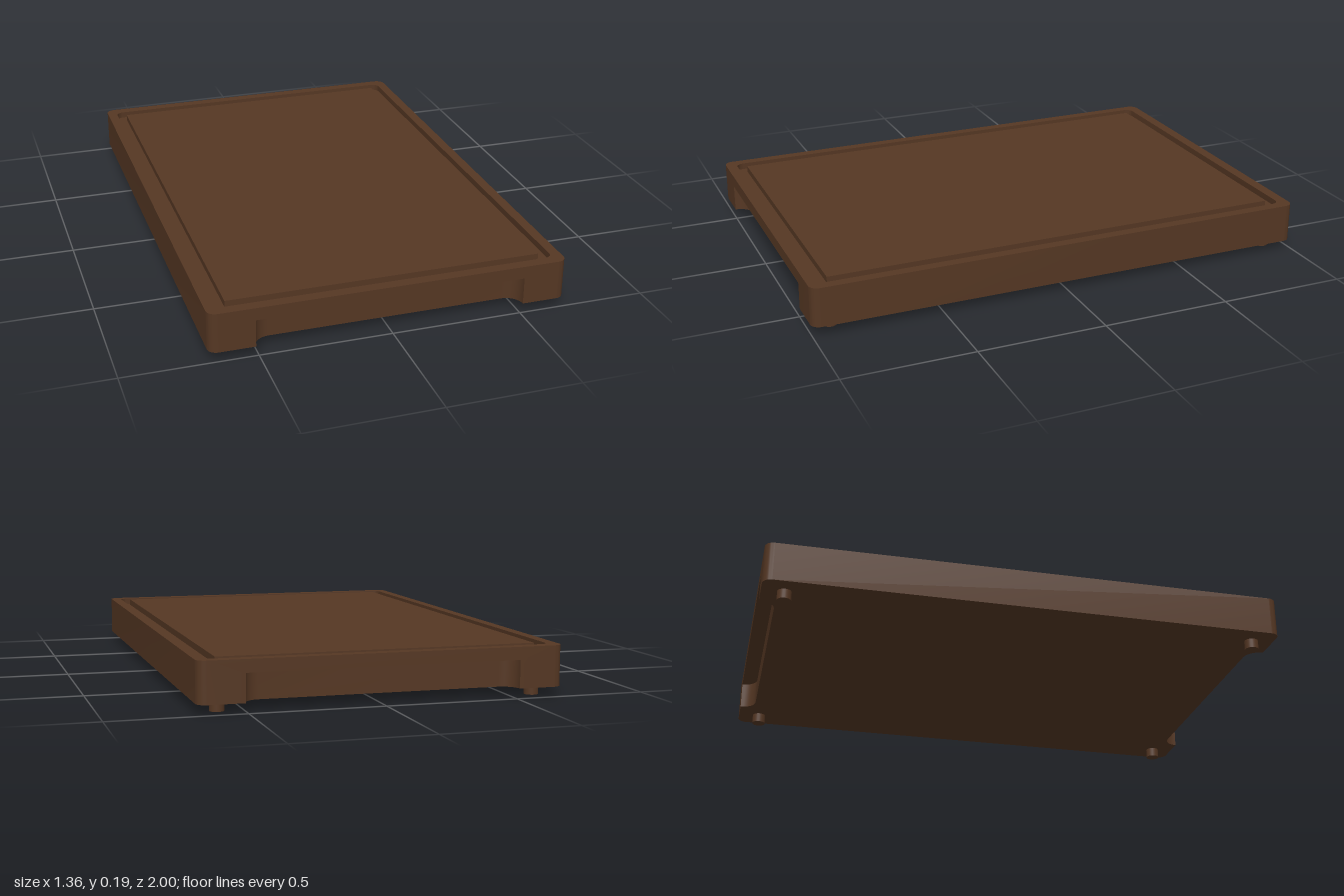
import * as THREE from 'three';
import { mergeGeometries, toCreasedNormals } from 'three/addons/utils/BufferGeometryUtils.js';

const W = 0.68, L = 1, BOTTOM = 0.037, TOP = 0.19;      // board half width, half length, heights
const CORNER = 0.035, FLOOR = 0.165;                    // corner radius, groove floor height
const GRIP = { w: 0.51, r: 0.06, top: 0.142 };          // hand grip under each end

// Points along an arc, as plan coordinates (x, -z)
function arc(cx, cy, r, from, to, steps = 8) {
  return Array.from({ length: steps + 1 }, (_, i) => {
    const a = from + (to - from) * i / steps;
    return new THREE.Vector2(cx + r * Math.cos(a), cy + r * Math.sin(a));
  });
}
const turned = (pts) => pts.map((p) => new THREE.Vector2(-p.x, -p.y));

// Counter-clockwise right side of a rounded rectangle
const rightSide = (w, l, r) => [
  ...arc(w - r, r - l, r, -Math.PI / 2, 0),
  ...arc(w - r, l - r, r, 0, Math.PI / 2),
];
const roundRect = (w, l, r) => {
  const side = rightSide(w, l, r);
  return [...side, ...turned(side)];
};

// Flat horizontal face, facing up or down
function cap(pts, y, up, hole) {
  const shape = new THREE.Shape(pts);
  if (hole) shape.holes.push(new THREE.Path(hole));
  return new THREE.ShapeGeometry(shape).rotateX(up ? -Math.PI / 2 : Math.PI / 2).translate(0, y, 0);
}

// Upright strip following a path; it faces to the right of the path
function wall(pts, y0, y1) {
  const pos = [];
  for (let i = 0; i < pts.length - 1; i++) {
    const a = pts[i], b = pts[i + 1];
    pos.push(a.x, y0, -a.y, b.x, y0, -b.y, b.x, y1, -b.y);
    pos.push(a.x, y0, -a.y, b.x, y1, -b.y, a.x, y1, -a.y);
  }
  return new THREE.BufferGeometry().setAttribute('position', new THREE.Float32BufferAttribute(pos, 3));
}

function boardGeometry() {
  const side = rightSide(W, L, CORNER);
  const grip = [
    ...arc(-GRIP.w + GRIP.r, -L, GRIP.r, Math.PI, Math.PI / 2),
    ...arc(GRIP.w - GRIP.r, -L, GRIP.r, Math.PI / 2, 0),
  ];
  const half = [...grip, ...side];
  const grooveOuter = roundRect(0.64, 0.957, 0.03);
  const grooveInner = [[-0.6, -0.918], [0.6, -0.918], [0.6, 0.918], [-0.6, 0.918]]
    .map(([x, y]) => new THREE.Vector2(x, y));
  const closed = (pts) => [...pts, pts[0]];

  // End face with the grip opening
  const e = W - CORNER;
  const end = () => new THREE.ShapeGeometry(new THREE.Shape([
    [-e, BOTTOM], [-GRIP.w, BOTTOM], [-GRIP.w, GRIP.top], [GRIP.w, GRIP.top],
    [GRIP.w, BOTTOM], [e, BOTTOM], [e, TOP], [-e, TOP],
  ].map(([x, y]) => new THREE.Vector2(x, y)))).translate(0, 0, L);

  const parts = [
    // Underside
    cap([...half, ...turned(half)], BOTTOM, false),
    // Top rim, juice groove and cutting surface
    cap(roundRect(W, L, CORNER), TOP, true, grooveOuter),
    wall(closed(grooveOuter).reverse(), FLOOR, TOP),
    cap(grooveOuter, FLOOR, true, grooveInner),
    wall(closed(grooveInner), FLOOR, TOP),
    cap(grooveInner, TOP, true),
    // Ends
    end(), end().rotateY(Math.PI),
  ];
  // Long sides and grip recesses
  for (const turn of [(p) => p, turned]) {
    parts.push(wall(turn(side), BOTTOM, TOP));
    parts.push(wall(turn(grip), BOTTOM, GRIP.top));
    parts.push(cap(turn(grip), GRIP.top, false));
  }
  const plain = parts.map((g) => {
    const p = g.index ? g.toNonIndexed() : g;
    p.deleteAttribute('uv');
    p.deleteAttribute('normal');
    return p;
  });
  return toCreasedNormals(mergeGeometries(plain), 0.6);
}

export function createModel() {
  const wood = new THREE.MeshStandardMaterial({ color: 0x553723 });
  wood.name = 'dark wood';

  const model = new THREE.Group();
  model.name = 'cuttingBoard';

  const board = new THREE.Mesh(boardGeometry(), wood);
  board.name = 'board';
  model.add(board);

  // Four round feet
  const footGeometry = new THREE.CylinderGeometry(0.027, 0.027, BOTTOM, 24);
  for (const x of [-1, 1]) for (const z of [-1, 1]) {
    const foot = new THREE.Mesh(footGeometry, wood);
    foot.name = `${z > 0 ? 'front' : 'back'}${x > 0 ? 'Left' : 'Right'}Foot`;
    foot.position.set(x * 0.594, BOTTOM / 2, z * 0.914);
    model.add(foot);
  }
  return model;
}
